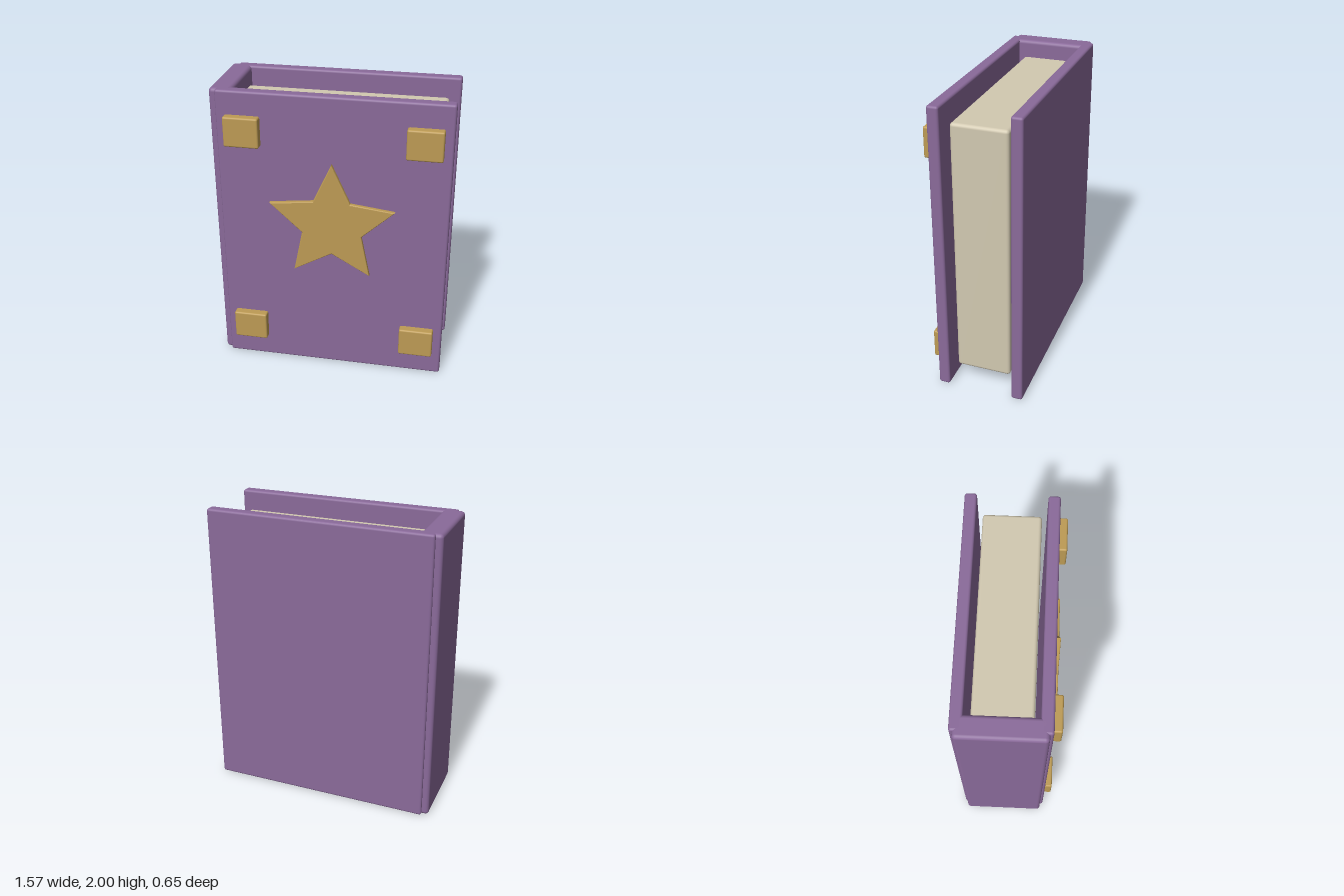
import * as THREE from 'three';
import { RoundedBoxGeometry } from 'three/addons/geometries/RoundedBoxGeometry.js';

const purple = new THREE.MeshStandardMaterial({ color: 0x8a6a9a });
const gold = new THREE.MeshStandardMaterial({ color: 0xbd9b54 });
const cream = new THREE.MeshStandardMaterial({ color: 0xd2c9b1 });

// Rounded box given by its minimum and maximum corners
function block(name, min, max, radius, material) {
  const size = max.map((v, i) => v - min[i]);
  const mesh = new THREE.Mesh(new RoundedBoxGeometry(...size, 3, radius), material);
  mesh.position.set(...min.map((v, i) => (v + max[i]) / 2));
  mesh.name = name;
  return mesh;
}

// Five-pointed star plate with softened edges
function starPlate() {
  const shape = new THREE.Shape();
  for (let i = 0; i < 10; i++) {
    const r = i % 2 ? 0.21 : 0.438;
    const a = Math.PI / 2 + (i * Math.PI) / 5;
    shape[i ? 'lineTo' : 'moveTo'](r * Math.cos(a), r * Math.sin(a));
  }
  shape.closePath();
  const bevel = 0.008;
  const geometry = new THREE.ExtrudeGeometry(shape, {
    depth: 0.016, bevelEnabled: true, bevelThickness: bevel,
    bevelSize: bevel, bevelOffset: -bevel, bevelSegments: 3,
  });
  const mesh = new THREE.Mesh(geometry, gold);
  mesh.position.set(0.02, 1.123, 0.288);
  mesh.name = 'starEmblem';
  return mesh;
}

export function createModel() {
  const book = new THREE.Group();
  book.name = 'book';

  // Covers, spine and page block
  book.add(
    block('frontCover', [-0.74, 0, 0.193], [0.785, 2, 0.27], 0.016, purple),
    block('backCover', [-0.74, 0, -0.325], [0.785, 2, -0.248], 0.016, purple),
    block('spine', [-0.785, 0, -0.305], [-0.64, 2, 0.247], 0.025, purple),
    block('pages', [-0.7, 0.122, -0.213], [0.711, 1.88, 0.16], 0.022, cream),
  );

  // Corner plates on the front cover
  for (const [x, side] of [[-0.565, 'Right'], [0.61, 'Left']]) {
    for (const [y, level] of [[0.267, 'lower'], [1.74, 'upper']]) {
      book.add(block(`${level}${side}CornerPlate`,
        [x - 0.116, y - 0.101, 0.255], [x + 0.116, y + 0.101, 0.325], 0.012, gold));
    }
  }

  book.add(starPlate());
  return book;
}
